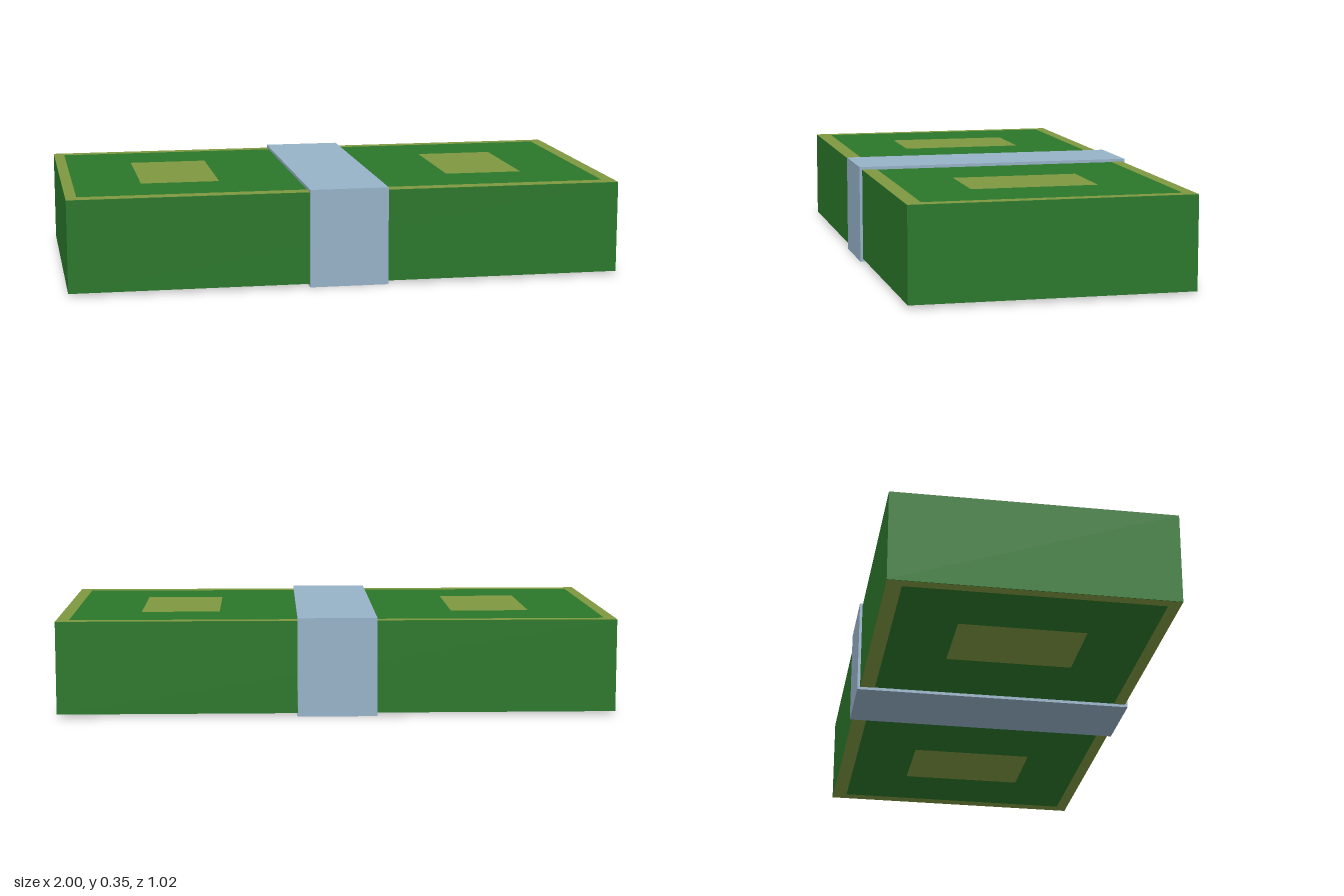
import * as THREE from 'three';

const material = (color) => new THREE.MeshStandardMaterial({ color });

// Counter-clockwise rectangle given by centre and size, as a Shape or a Path
function rect(Type, cx, cy, w, h) {
  const x = w / 2, y = h / 2;
  return new Type([[-x, -y], [x, -y], [x, y], [-x, y]].map(([a, b]) => new THREE.Vector2(cx + a, cy + b)));
}

export function createModel() {
  const group = new THREE.Group();
  const green = material(0x2a772a), olive = material(0x7f9840), blue = material(0x96b2c8);
  const add = (name, geometry, mat, y = 0) => {
    const mesh = new THREE.Mesh(geometry, mat);
    mesh.name = name;
    mesh.position.y = y;
    group.add(mesh);
  };

  const length = 2, depth = 1, bottom = 0.011, top = 0.343;
  const height = top - bottom, middle = (top + bottom) / 2;

  // Stack of notes
  add('noteStack', new THREE.BoxGeometry(length, height, depth), green, middle);

  // Printed border and two panels, on the top and the underside
  const dx = -0.003, dy = 0.006;
  const border = rect(THREE.Shape, 0, 0, length, depth);
  border.holes.push(rect(THREE.Path, dx, dy, 1.915, 0.902));
  const panels = [-1, 1].map((s) => rect(THREE.Shape, dx + s * 0.57, dy, 0.286, 0.454));
  for (const side of [1, -1]) {
    const label = side > 0 ? 'top' : 'bottom';
    const y = middle + side * (height / 2 + 0.001);
    const print = (shapes) => new THREE.ShapeGeometry(shapes).rotateX(-side * Math.PI / 2);
    add(label + 'Border', print(border), olive, y);
    add(label + 'Panels', print(panels), olive, y);
  }

  // Paper band wrapped around the middle
  const bandWidth = 0.284;
  const loop = rect(THREE.Shape, 0, 0, 1.02, 0.354);
  loop.holes.push(rect(THREE.Path, 0, 0, depth, height));
  const band = new THREE.ExtrudeGeometry(loop, { depth: bandWidth, bevelEnabled: false });
  band.translate(0, 0, -bandWidth / 2).rotateY(Math.PI / 2);
  add('paperBand', band, blue, middle);

  return group;
}
